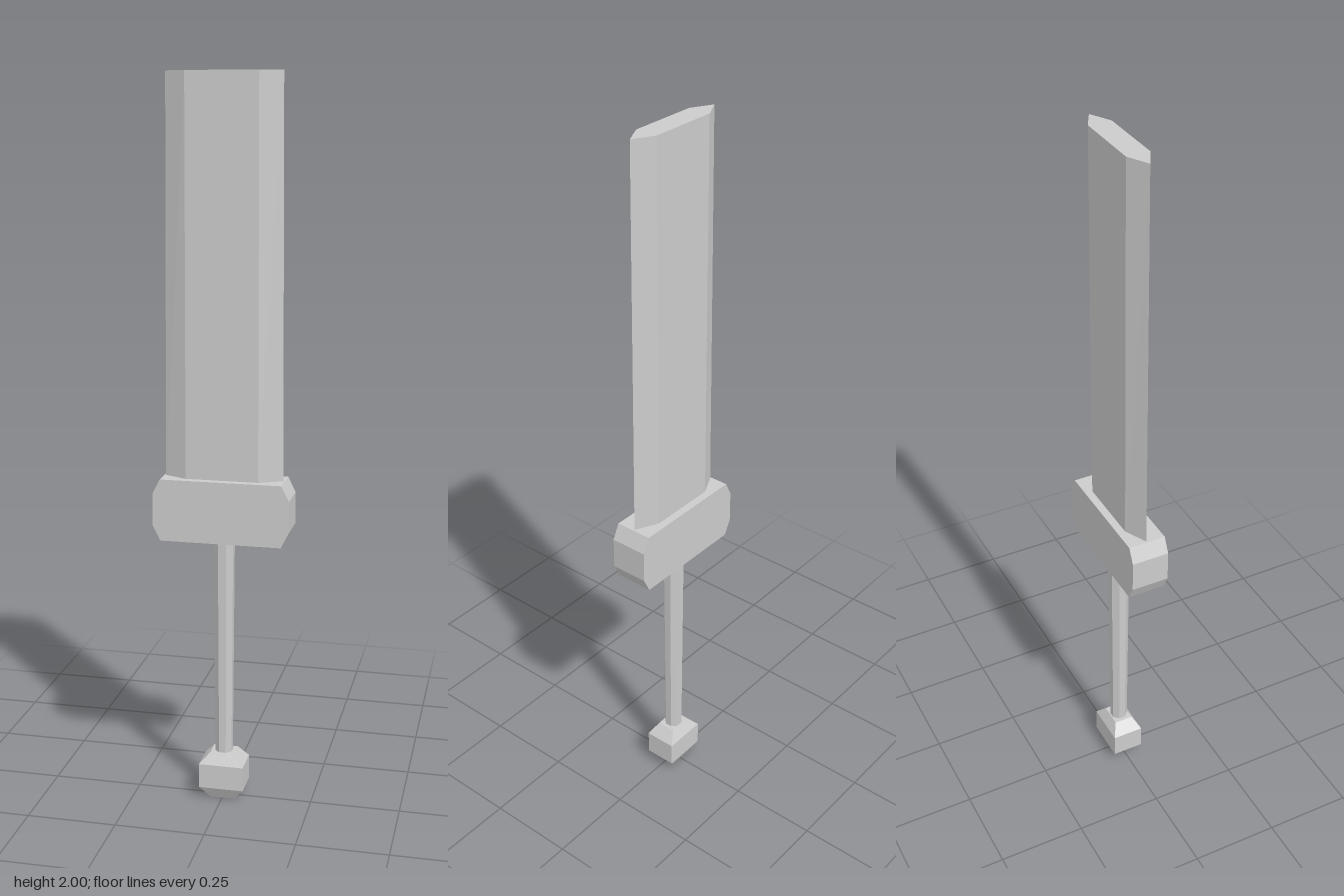
import * as THREE from 'three';

const material = new THREE.MeshStandardMaterial({ color: 0xcccccc, flatShading: true });

// Closed solid through rings stacked upward; each ring is { y, pts: [[x, z], ...] },
// running counter-clockwise as seen from above.
function loft(rings) {
  const pos = [];
  const corner = (r, i) => {
    const [x, z] = r.pts[i % r.pts.length];
    pos.push(x, r.y, z);
  };
  const n = rings[0].pts.length;
  for (let k = 0; k < rings.length - 1; k++) {
    const a = rings[k], b = rings[k + 1];
    for (let i = 0; i < n; i++) {
      corner(a, i); corner(a, i + 1); corner(b, i + 1);
      corner(a, i); corner(b, i + 1); corner(b, i);
    }
  }
  const bottom = rings[0], top = rings[rings.length - 1];
  for (let i = 1; i < n - 1; i++) {
    corner(top, 0); corner(top, i); corner(top, i + 1);
    corner(bottom, 0); corner(bottom, i + 1); corner(bottom, i);
  }
  const geo = new THREE.BufferGeometry();
  geo.setAttribute('position', new THREE.Float32BufferAttribute(pos, 3));
  geo.computeVertexNormals();
  return geo;
}

const rectangle = (y, x, z) => ({ y, pts: [[x, z], [x, -z], [-x, -z], [-x, z]] });

const bladeSection = (y, edge, flat, z) => ({
  y, pts: [[edge, 0], [flat, -z], [-flat, -z], [-edge, 0], [-flat, z], [flat, z]],
});

export function createModel() {
  const model = new THREE.Group();
  model.name = 'sword';
  const add = (name, geometry) => {
    const mesh = new THREE.Mesh(geometry, material);
    mesh.name = name;
    model.add(mesh);
    return mesh;
  };

  // Broad blade, bevelled to both edges and cut square at the tip
  add('blade', loft([
    bladeSection(0.9, 0.163, 0.1, 0.031),
    bladeSection(2, 0.155, 0.097, 0.031),
  ]));

  // Guard block with chamfered ends
  add('guard', loft([
    rectangle(0.758, 0.167, 0.053),
    rectangle(0.8, 0.188, 0.053),
    rectangle(0.888, 0.188, 0.053),
    rectangle(0.93, 0.167, 0.053),
  ]));

  // Eight-sided grip, narrowing to the pommel
  const grip = add('grip', new THREE.CylinderGeometry(0.03, 0.025, 0.67, 8));
  grip.rotation.y = Math.PI / 8;
  grip.position.y = 0.445;

  // Faceted pommel
  add('pommel', loft([
    rectangle(0, 0.034, 0.027),
    rectangle(0.034, 0.063, 0.045),
    rectangle(0.104, 0.063, 0.045),
    rectangle(0.136, 0.034, 0.027),
  ]));

  return model;
}
